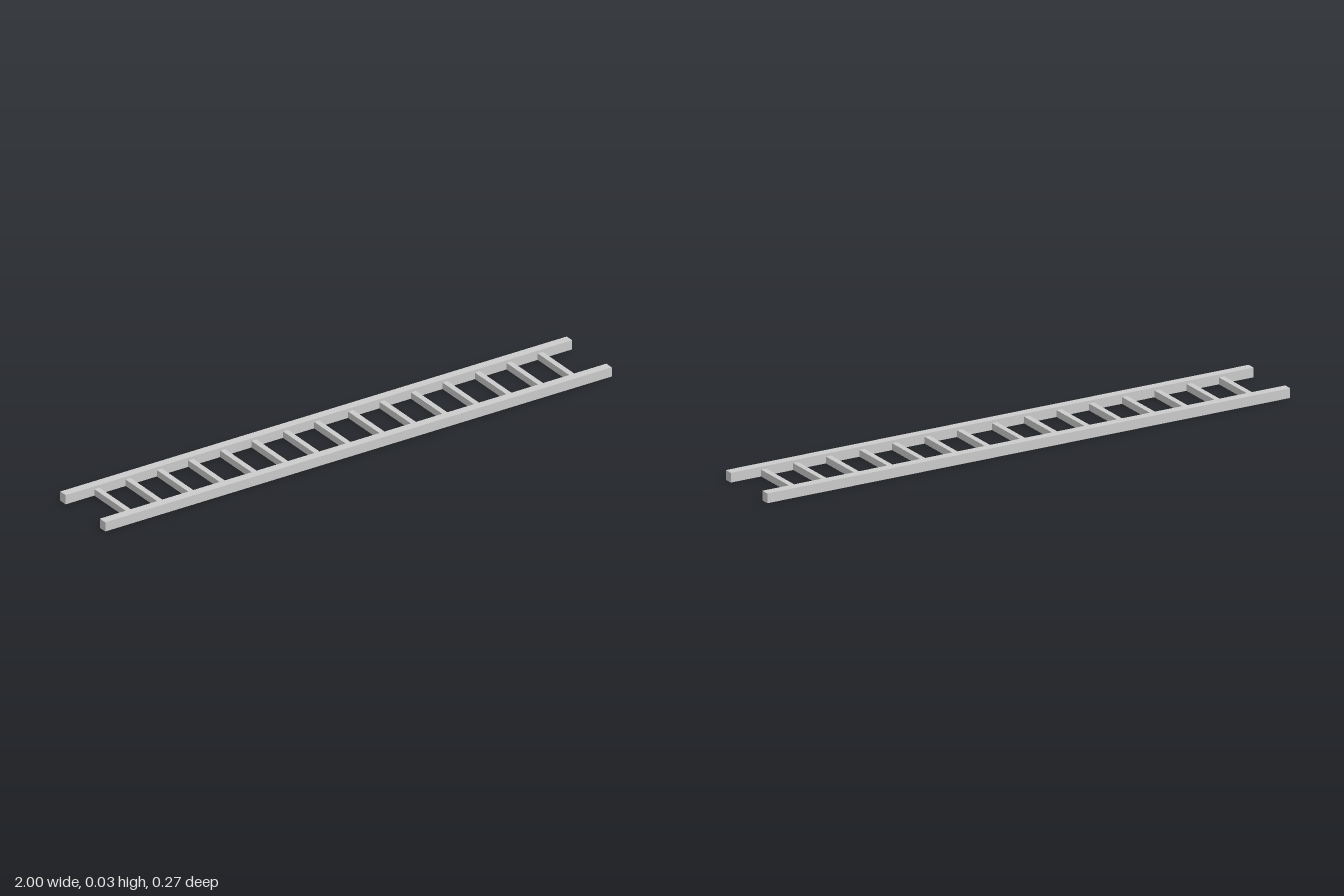
import * as THREE from 'three';

const RAIL = { length: 2, height: 0.034, depth: 0.032, z: 0.117 };
const RUNG = { width: 0.02, height: 0.024, length: 0.202 };
// Slightly uneven rung spacing along the ladder
const RUNG_X = [-0.877, -0.753, -0.63, -0.506, -0.38, -0.256, -0.132, -0.009,
  0.125, 0.249, 0.373, 0.498, 0.626, 0.751, 0.874];

export function createModel() {
  const ladder = new THREE.Group();
  ladder.name = 'ladder';
  const material = new THREE.MeshStandardMaterial({ color: 0xcccccc });

  // Box standing on the ground plane
  const addBox = (name, geometry, height, x, z) => {
    const mesh = new THREE.Mesh(geometry, material);
    mesh.name = name;
    mesh.position.set(x, height / 2, z);
    ladder.add(mesh);
  };

  // Two long side rails
  const railGeometry = new THREE.BoxGeometry(RAIL.length, RAIL.height, RAIL.depth);
  addBox('frontRail', railGeometry, RAIL.height, 0, RAIL.z);
  addBox('backRail', railGeometry, RAIL.height, 0, -RAIL.z);

  // Rungs between the rails, lower than the rail tops
  const rungGeometry = new THREE.BoxGeometry(RUNG.width, RUNG.height, RUNG.length);
  RUNG_X.forEach((x, i) => addBox(`rung${i + 1}`, rungGeometry, RUNG.height, x, 0));

  return ladder;
}
